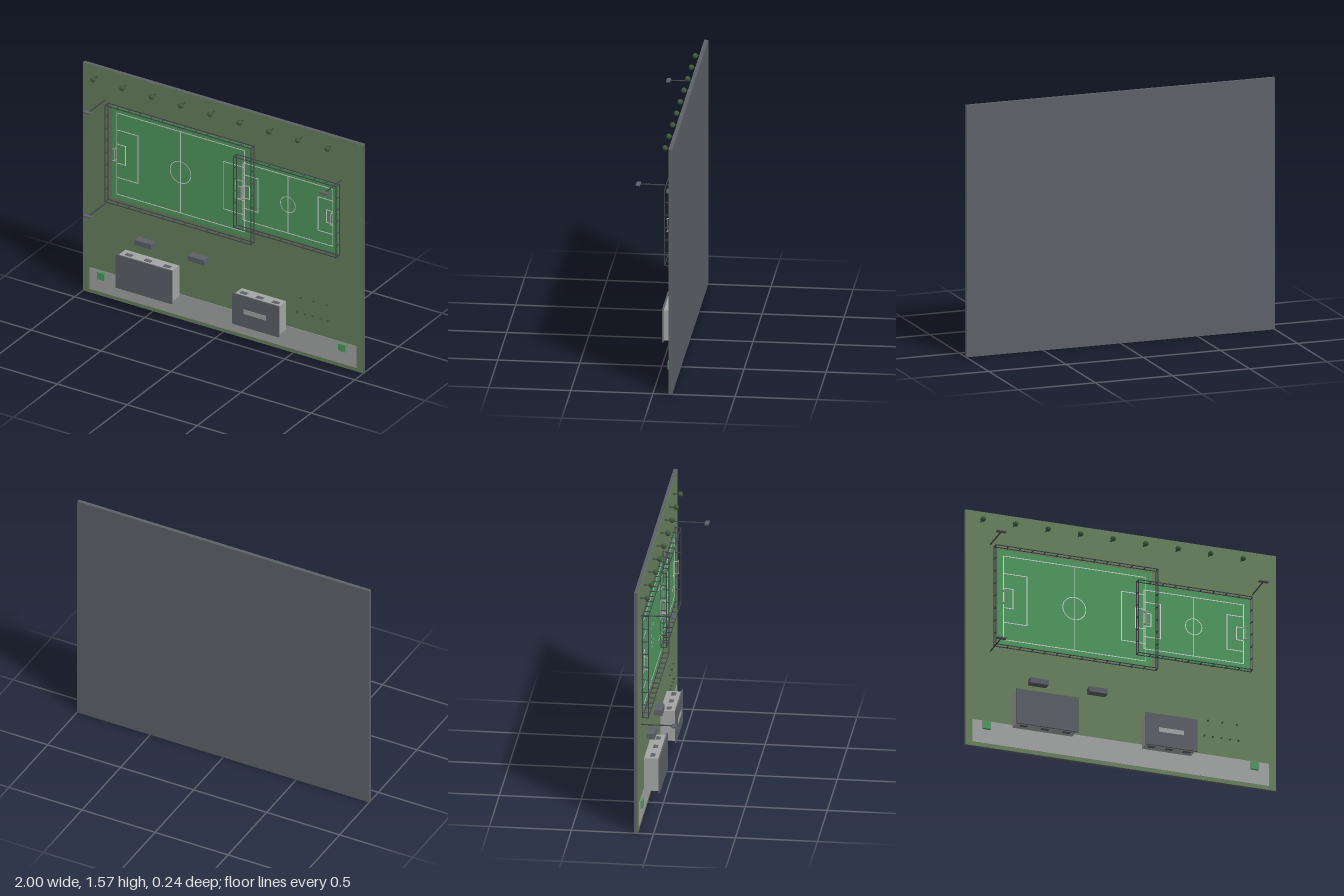
import * as THREE from 'three';

const mat = (name, color) => {
  const m = new THREE.MeshStandardMaterial({ color });
  m.name = name;
  return m;
};

export function createModel() {
  const slate = mat('slate', 0x5c6067);
  const grass = mat('grass', 0x69805f);
  const turf = mat('turf', 0x50985f);
  const concrete = mat('concrete', 0xa3a5a5);
  const paint = mat('line paint', 0xd5d8d5);
  const metal = mat('dark metal', 0x3f4349);
  const leaf = mat('leaf', 0x3f5a3c);

  const root = new THREE.Group();
  root.name = 'sportsGround';
  const GROUND = -0.094;

  const group = (name) => {
    const g = new THREE.Group();
    g.name = name;
    root.add(g);
    return g;
  };
  // Box given by its limits on each axis
  const box = (parent, name, m, x0, x1, y0, y1, z0, z1) => {
    const mesh = new THREE.Mesh(new THREE.BoxGeometry(x1 - x0, y1 - y0, z1 - z0), m);
    mesh.position.set((x0 + x1) / 2, (y0 + y1) / 2, (z0 + z1) / 2);
    mesh.name = name;
    parent.add(mesh);
    return mesh;
  };

  // Base slab, lawn and paved strip
  box(root, 'baseSlab', slate, -1, 1, 0, 1.57, -0.118, GROUND - 0.002);
  box(root, 'lawn', grass, -0.999, 0.999, 0.001, 1.569, GROUND - 0.002, GROUND);
  box(root, 'pavedStrip', concrete, -0.953, 0.953, 0.026, 0.175, GROUND, GROUND + 0.002);

  // Playing field with markings, each line a thin plate
  function field(name, f, z, lines) {
    const g = group(name);
    box(g, 'turf', turf, f.x0, f.x1, f.y0, f.y1, GROUND, z);
    const w = 0.0025;
    const bar = (x0, x1, y0, y1) => box(g, 'line', paint, x0 - w, x1 + w, y0 - w, y1 + w, z, z + 0.0012);
    const { x0, x1, y0, y1, r, boxes } = lines;
    const cx = (x0 + x1) / 2, cy = (y0 + y1) / 2;
    for (const x of [x0, cx, x1]) bar(x, x, y0, y1);
    for (const y of [y0, y1]) bar(x0, x1, y, y);
    for (const [depth, half] of boxes) {
      for (const [edge, dir] of [[x0, 1], [x1, -1]]) {
        const inner = edge + dir * depth;
        bar(inner, inner, cy - half, cy + half);
        for (const s of [-1, 1]) bar(Math.min(edge, inner), Math.max(edge, inner), cy + s * half, cy + s * half);
      }
    }
    const ring = new THREE.Mesh(new THREE.RingGeometry(r - w, r + w, 40), paint);
    ring.position.set(cx, cy, z + 0.0012);
    ring.name = 'centreCircle';
    g.add(ring);
    // Goal frames at both ends
    for (const [edge, dir] of [[x0, -1], [x1, 1]]) {
      const t = 0.002, h = z + 0.028, back = edge + dir * 0.018;
      for (const y of [cy - 0.04, cy + 0.04]) {
        box(g, 'goalPost', concrete, edge - t, edge + t, y - t, y + t, z, h);
        box(g, 'goalSideBar', concrete, Math.min(edge, back), Math.max(edge, back), y - t, y + t, h - 2 * t, h);
      }
      box(g, 'goalCrossbar', concrete, edge - t, edge + t, cy - 0.04, cy + 0.04, h - 2 * t, h);
    }
  }
  field('largeField', { x0: -0.79, x1: 0.2, y0: 0.7, y1: 1.33 }, -0.0905,
    { x0: -0.756, x1: 0.156, y0: 0.735, y1: 1.293, r: 0.074, boxes: [[0.152, 0.163], [0.062, 0.065]] });
  field('smallField', { x0: 0.11, x1: 0.828, y0: 0.775, y1: 1.248 }, -0.0895,
    { x0: 0.147, x1: 0.787, y0: 0.816, y1: 1.208, r: 0.053, boxes: [[0.106, 0.115], [0.045, 0.043]] });

  // Perimeter fence: two rails with posts between
  function fence(name, x0, x1, y0, y1, nx, ny) {
    const g = group(name), t = 0.0022, top = -0.053;
    for (const z of [top, GROUND + 0.006]) {
      for (const y of [y0, y1]) box(g, 'rail', metal, x0, x1, y - t, y + t, z - t, z + t);
      for (const x of [x0, x1]) box(g, 'rail', metal, x - t, x + t, y0, y1, z - t, z + t);
    }
    const post = (x, y) => box(g, 'post', metal, x - t, x + t, y - t, y + t, GROUND, top);
    for (let i = 0; i <= nx; i++) for (const y of [y0, y1]) post(x0 + (x1 - x0) * i / nx, y);
    for (let j = 1; j < ny; j++) for (const x of [x0, x1]) post(x, y0 + (y1 - y0) * j / ny);
  }
  fence('largeFence', -0.816, 0.225, 0.682, 1.344, 13, 8);
  fence('smallFence', 0.1, 0.834, 0.768, 1.254, 9, 6);

  // Floodlights
  for (const [x, y] of [[-0.838, 1.359], [-0.838, 0.647], [0.847, 1.289]]) {
    const g = group('floodlight');
    const pole = new THREE.Mesh(new THREE.CylinderGeometry(0.004, 0.004, 0.2, 8), metal);
    pole.rotation.x = Math.PI / 2;
    pole.position.set(x, y, GROUND + 0.1);
    pole.name = 'pole';
    g.add(pole);
    box(g, 'lampHead', slate, x - 0.03, x + 0.03, y - 0.004, y + 0.004, 0.093, 0.118);
  }

  // Row of trees
  for (let i = 0; i < 9; i++) {
    const g = group('tree'), x = -0.9 + i * 0.209;
    const trunk = new THREE.Mesh(new THREE.CylinderGeometry(0.004, 0.004, 0.045, 6), metal);
    trunk.rotation.x = Math.PI / 2;
    trunk.position.set(x, 1.5, GROUND + 0.0225);
    trunk.name = 'trunk';
    const crown = new THREE.Mesh(new THREE.SphereGeometry(0.017, 10, 8), leaf);
    crown.position.set(x, 1.5, -0.049);
    crown.name = 'crown';
    g.add(trunk, crown);
  }

  // Team shelters
  for (const x of [-0.54, -0.16]) box(root, 'shelter', slate, x - 0.059, x + 0.059, 0.453, 0.487, -0.09, -0.04);

  // Buildings with overhanging flat roofs and windows on the long walls
  function building(name, x0, x1, y0, y1) {
    const g = group(name), o = 0.009;
    box(g, 'walls', concrete, x0 + o, x1 - o, y0 + o, y1 - o, GROUND, -0.005);
    box(g, 'roof', slate, x0, x1, y0, y1, -0.005, 0.004);
    for (let i = 0; i < 3; i++) {
      const x = x0 + (x1 - x0) * (0.16 + 0.34 * i);
      for (const y of [y0 + o, y1 - o]) box(g, 'window', slate, x - 0.024, x + 0.024, y - 0.002, y + 0.002, -0.06, -0.032);
    }
    return g;
  }
  building('clubhouse', -0.705, -0.303, 0.148, 0.377);
  const hall = building('changingRooms', 0.126, 0.46, 0.138, 0.35);
  box(hall, 'roofPanel', concrete, 0.21, 0.37, 0.23, 0.26, 0.004, 0.007);

  // Gate boxes on the paved strip
  for (const x of [-0.865, 0.858]) box(root, 'gateBox', turf, x - 0.025, x + 0.025, 0.118, 0.167, GROUND, -0.077);

  // Small marker posts
  const marker = (x, y) => box(root, 'marker', leaf, x - 0.004, x + 0.004, y - 0.004, y + 0.004, GROUND, -0.081);
  for (let i = 0; i < 5; i++) marker(0.535 + i * 0.055, 0.296);
  for (let i = 0; i < 3; i++) marker(0.56 + i * 0.092, 0.4);

  return root;
}
